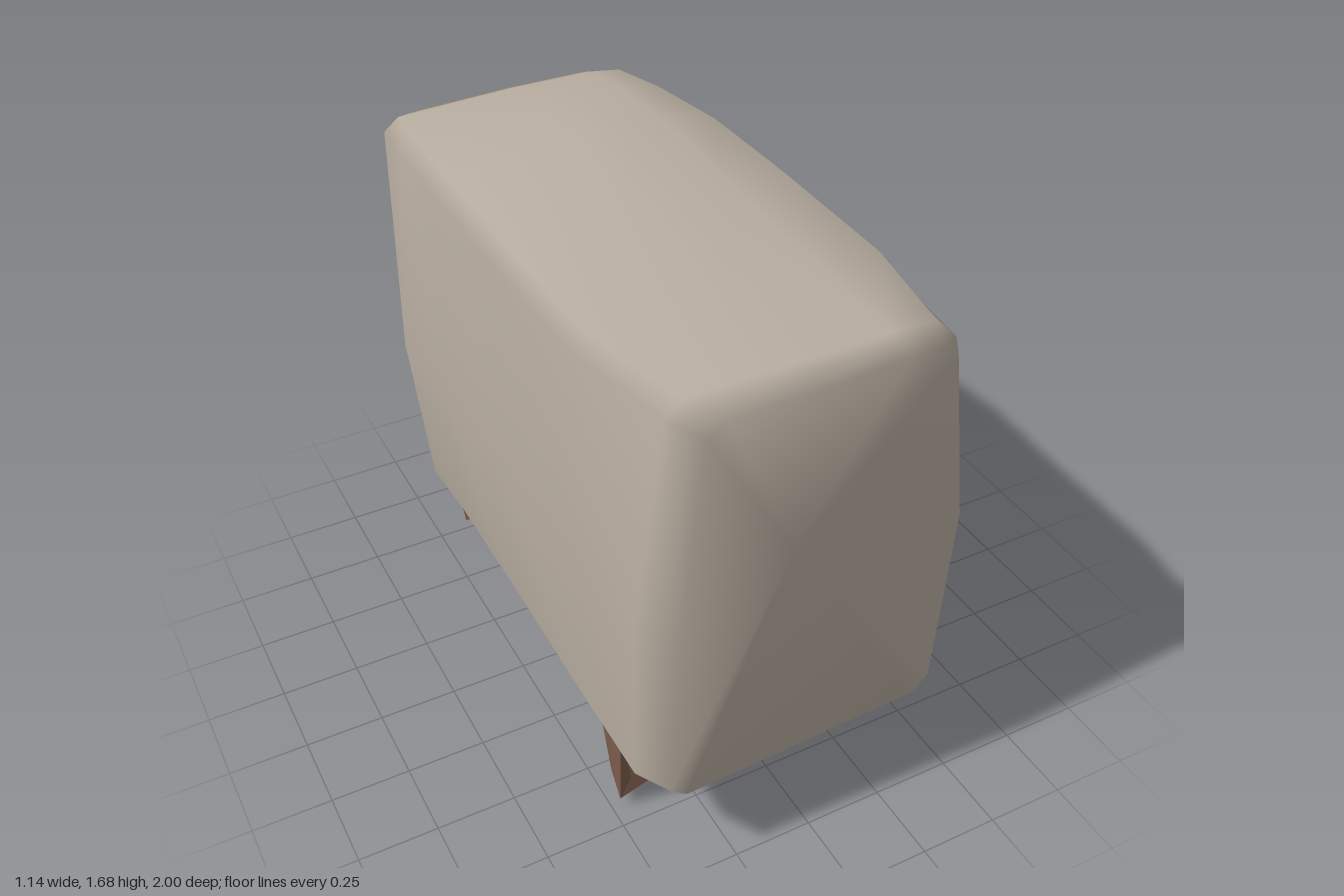
import * as THREE from 'three';
import { ConvexGeometry } from 'three/addons/geometries/ConvexGeometry.js';

const mat = (name, color, side = THREE.FrontSide) =>
  Object.assign(new THREE.MeshStandardMaterial({ color, side }), { name });

// Small seeded generator for the rough grille
function seeded(seed) {
  return () => {
    seed = (seed * 16807) % 2147483647;
    return seed / 2147483647;
  };
}

// Worn casing: cross-sections lofted from front to back
function casingGeometry() {
  // z, left side (low, middle, high), right side (low, middle, high), inner end of the top,
  // bottom, top, crown, right chamfer
  const sections = [
    [0.975, -0.46, -0.44, -0.37, 0.43, 0.46, 0.37, 0.32, 0.335, 1.61, 1.615, 0.05],
    [0.86, -0.515, -0.51, -0.43, 0.505, 0.505, 0.43, 0.36, 0.32, 1.62, 1.625, 0.07],
    [0.5, -0.52, -0.505, -0.5, 0.515, 0.51, 0.49, 0.43, 0.335, 1.615, 1.635, 0.09],
    [0.0, -0.52, -0.53, -0.51, 0.52, 0.505, 0.515, 0.44, 0.35, 1.615, 1.655, 0.09],
    [-0.4, -0.525, -0.555, -0.52, 0.525, 0.515, 0.53, 0.42, 0.365, 1.63, 1.685, 0.1],
    [-0.68, -0.52, -0.575, -0.52, 0.505, 0.505, 0.5, 0.37, 0.325, 1.635, 1.67, 0.1],
    [-0.89, -0.47, -0.51, -0.5, 0.45, 0.46, 0.42, 0.33, 0.3, 1.62, 1.635, 0.06],
    [-0.962, -0.37, -0.40, -0.38, 0.37, 0.37, 0.33, 0.29, 0.335, 1.595, 1.605, 0.05],
  ];
  const pos = [], idx = [];
  let n = 0;
  sections.forEach(([z, lb, lm, lt, rb, rm, rt, inner, b, t, crown, c], k) => {
    const ring = [
      [lb, b + 0.04], [lb + 0.05, b], [rb - c, b], [rb, b + c], [rm, 1], [rt, t - c],
      [inner, t], [0.22, crown], [-0.05, crown], [lt + 0.05, t], [lt, t - 0.04], [lm, 0.92],
    ];
    n = ring.length;
    // The front face turns back slightly towards its left
    for (const [x, y] of ring) pos.push(x, y, k === 0 ? z - 0.07 * Math.max(0, x) : z);
  });
  const last = (sections.length - 1) * n;
  const front = pos.length / 3, back = front + 1;
  pos.push(-0.12, 1.15, 0.998, -0.08, 0.7, -0.998);
  for (let i = 0; i < n; i++) {
    const j = (i + 1) % n;
    for (let k = 0; k < last; k += n) {
      idx.push(k + i, k + n + i, k + j, k + j, k + n + i, k + n + j);
    }
    idx.push(front, i, j, back, last + j, last + i);
  }
  const g = new THREE.BufferGeometry();
  g.setAttribute('position', new THREE.Float32BufferAttribute(pos, 3));
  g.setIndex(idx);
  g.computeVertexNormals();
  return g;
}

// Height of the slightly domed grille at a given radius
const dome = (r) => 0.02 - 0.19 * r * r;

// Crumpled annulus facing +x
function grilleGeometry(rand) {
  const g = new THREE.RingGeometry(0.15, 0.495, 44, 7);
  const p = g.attributes.position;
  const segs = 45;
  for (let i = 0; i < p.count; i++) {
    const seam = i % segs === segs - 1;
    const src = i - segs + 1;
    if (seam) {
      p.setXYZ(i, p.getX(src), p.getY(src), p.getZ(src));
      continue;
    }
    const s = 1 + (rand() - 0.5) * 0.08;
    const r = Math.hypot(p.getX(i), p.getY(i));
    p.setXYZ(i, p.getX(i) * s, p.getY(i) * s, dome(r) + (rand() - 0.5) * 0.022);
  }
  g.rotateY(Math.PI / 2);
  const flat = g.toNonIndexed();
  flat.computeVertexNormals();
  return flat;
}

// Thin irregular slivers laid around the fan opening
function shardGeometry(rand, count) {
  const pos = [];
  for (let i = 0; i < count; i++) {
    const a = rand() * Math.PI * 2;
    const r = 0.2 + 0.28 * Math.sqrt(rand());
    const turn = a + Math.PI / 2 + (rand() - 0.5) * 1.6;
    const len = 0.04 + rand() * 0.05;
    const wide = 0.012 + rand() * 0.025;
    const cy = Math.sin(a) * r, cz = Math.cos(a) * r;
    const dy = Math.sin(turn), dz = Math.cos(turn);
    const x = () => dome(r) + rand() * 0.022 - 0.004;
    pos.push(x(), cy - dy * len, cz - dz * len);
    pos.push(x(), cy + dy * len, cz + dz * len);
    pos.push(x(), cy + dz * wide, cz - dy * wide);
  }
  const g = new THREE.BufferGeometry();
  g.setAttribute('position', new THREE.Float32BufferAttribute(pos, 3));
  g.computeVertexNormals();
  return g;
}

export function createModel() {
  const model = new THREE.Group();
  model.name = 'outdoorFanUnit';
  const casingMat = mat('warm grey casing', 0xb8ada0);
  const grilleMat = mat('dark grille', 0x50534f, THREE.DoubleSide);
  const bracketMat = mat('rusty bracket', 0x7e5e4c);
  bracketMat.flatShading = true;

  const add = (name, geometry, material, parent = model) => {
    const m = new THREE.Mesh(geometry, material);
    m.name = name;
    parent.add(m);
    return m;
  };
  const hull = (name, points, parent) =>
    add(name, new ConvexGeometry(points.map((p) => new THREE.Vector3(...p))), bracketMat, parent);
  const group = (name) => {
    const g = new THREE.Group();
    g.name = name;
    model.add(g);
    return g;
  };

  add('casing', casingGeometry(), casingMat);

  // Round fan grille on the +x side
  const grille = group('fanGrille');
  grille.position.set(0.54, 1.0, 0.305);
  const rand = seeded(77);
  add('crumpledRing', grilleGeometry(rand), grilleMat, grille);
  add('wireShards', shardGeometry(rand, 260), grilleMat, grille);
  const hub = add('hub', new THREE.CylinderGeometry(0.17, 0.19, 0.02, 12), grilleMat, grille);
  hub.rotation.z = -Math.PI / 2;
  hub.scale.x = 1.2;
  hub.position.x = 0.004;
  const cap = add('hubCap', new THREE.CylinderGeometry(0.034, 0.034, 0.006, 8), casingMat, grille);
  cap.rotation.z = -Math.PI / 2;
  cap.scale.z = 0.6;
  cap.position.set(0.015, -0.05, -0.04);

  // Front bracket: open triangle of three tapered bars
  const frontBracket = group('frontBracket');
  hull('topBar', [
    [-0.48, 0.35, 0.58], [-0.48, 0.35, 0.71], [-0.46, 0.3, 0.65],
    [0.35, 0.35, 0.58], [0.35, 0.35, 0.71], [0.1, 0.29, 0.65],
  ], frontBracket);
  hull('upright', [
    [-0.49, 0.35, 0.58], [-0.49, 0.35, 0.72], [-0.45, 0.34, 0.65],
    [-0.475, 0.035, 0.68], [-0.465, 0.08, 0.6], [-0.43, 0.07, 0.67],
  ], frontBracket);
  hull('diagonal', [
    [-0.475, 0.035, 0.68], [-0.465, 0.08, 0.6], [-0.46, 0.16, 0.67],
    [0.35, 0.34, 0.6], [0.35, 0.34, 0.7], [-0.05, 0.3, 0.65],
  ], frontBracket);

  // Rear bracket: broad sloping foot and a strut, open between them
  const rearBracket = group('rearBracket');
  hull('slopingFoot', [
    [0.34, 0.37, -0.36], [0.2, 0.35, -0.66], [-0.08, 0.37, -0.4], [-0.08, 0.35, -0.64],
    [0.01, 0.0, -0.775], [-0.41, 0.065, -0.72],
  ], rearBracket);
  hull('sideStrut', [
    [-0.47, 0.37, -0.36], [-0.46, 0.34, -0.66], [-0.38, 0.36, -0.5],
    [-0.41, 0.065, -0.72], [-0.36, 0.1, -0.71],
  ], rearBracket);

  return model;
}
